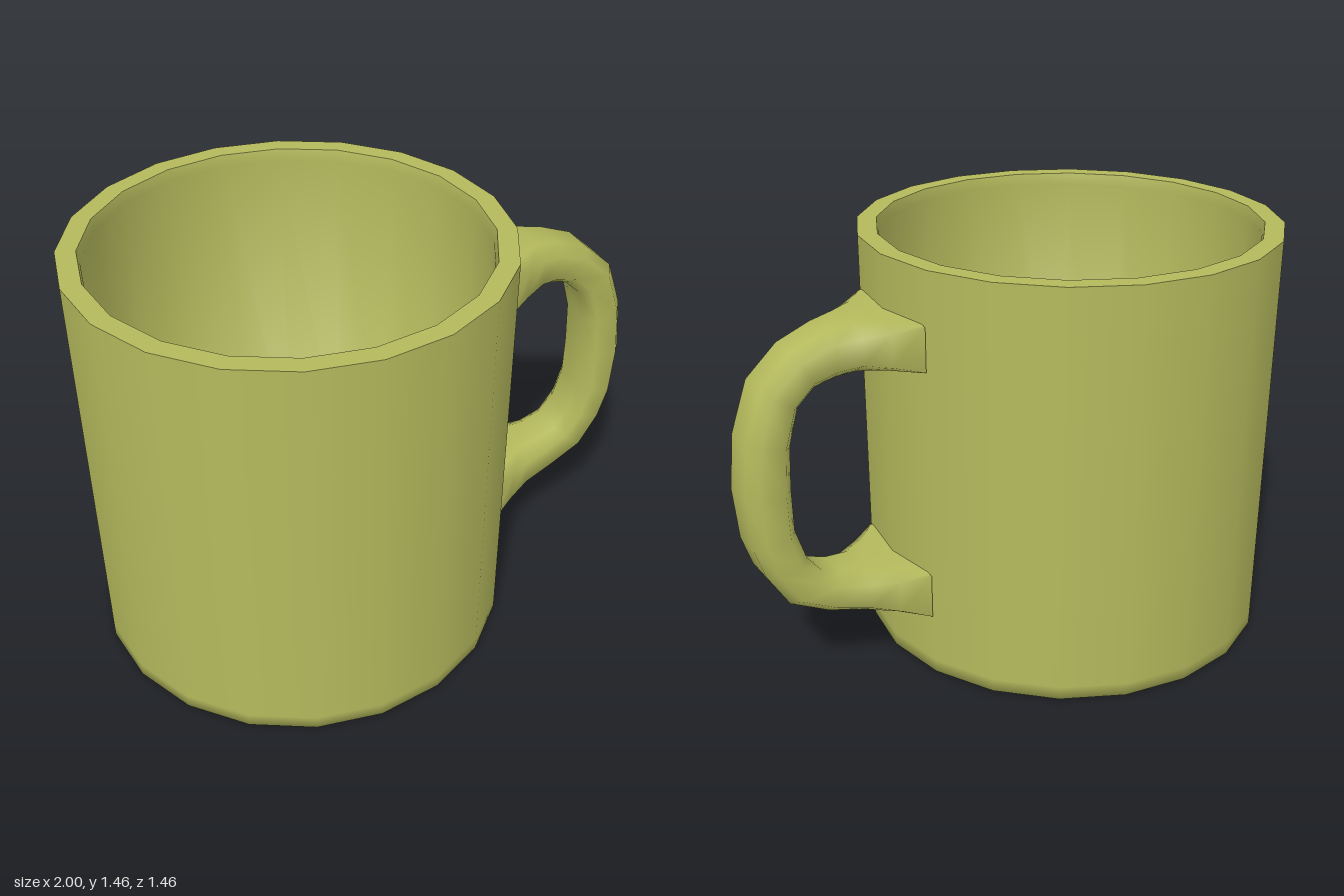
import * as THREE from 'three';

const SIDES = 20, CENTRE_X = -0.27;

export function createModel() {
  const group = new THREE.Group();
  const material = new THREE.MeshStandardMaterial({ color: 0xb4b95c, side: THREE.DoubleSide });

  const add = (name, geometry, x = 0) => {
    const mesh = new THREE.Mesh(geometry, material);
    mesh.name = name;
    mesh.position.x = x;
    group.add(mesh);
  };
  const lathe = (points) =>
    new THREE.LatheGeometry(points.map(([r, y]) => new THREE.Vector2(r, y)), SIDES);

  // Cup body: separate profiles keep the rim edges sharp
  add('cupOutside', lathe([[0, 0], [0.69, 0], [0.73, 0.004], [0.73, 0.05], [0.73, 1.46]]), CENTRE_X);
  add('cupRim', lathe([[0.73, 1.46], [0.663, 1.46]]), CENTRE_X);
  add('cupInside', lathe([[0.663, 1.46], [0.656, 1.42], [0.656, 0.07], [0, 0.07]]), CENTRE_X);

  add('handle', handleGeometry());
  return group;
}

// Handle: eight-sided loops, rectangular and flared at the wall, rounder along the grip
function handleGeometry() {
  // outer x, y, inner x, y, half width, corner fullness
  const stations = [
    [0.43, 1.28, 0.43, 1.12, 0.22, 0.94],
    [0.52, 1.28, 0.52, 1.12, 0.17, 0.7],
    [0.6, 1.28, 0.6, 1.12, 0.132, 0.55],
    [0.69, 1.265, 0.67, 1.11, 0.108, 0.55],
    [0.81, 1.22, 0.74, 1.09, 0.1, 0.55],
    [0.92, 1.12, 0.8, 1.035, 0.1, 0.55],
    [0.98, 0.95, 0.835, 0.91, 0.1, 0.55],
    [1.0, 0.76, 0.842, 0.76, 0.1, 0.55],
    [0.985, 0.58, 0.84, 0.61, 0.1, 0.55],
    [0.95, 0.47, 0.805, 0.5, 0.1, 0.55],
    [0.875, 0.345, 0.755, 0.435, 0.1, 0.55],
    [0.74, 0.275, 0.69, 0.41, 0.106, 0.55],
    [0.61, 0.24, 0.6, 0.397, 0.13, 0.55],
    [0.52, 0.228, 0.52, 0.392, 0.17, 0.7],
    [0.43, 0.222, 0.43, 0.39, 0.22, 0.94],
  ];
  const positions = [], index = [], n = 8;
  for (const [ox, oy, ix, iy, w, k] of stations) {
    const loop = [[k, 1], [1, k], [1, -k], [k, -1], [-k, -1], [-1, -k], [-1, k], [-k, 1]];
    for (const [side, out] of loop) {
      const t = (1 - out) / 2;
      positions.push(ox + (ix - ox) * t, oy + (iy - oy) * t, w * side);
    }
  }
  for (let s = 0; s < stations.length - 1; s++) {
    for (let j = 0; j < n; j++) {
      const a = s * n + j, b = s * n + (j + 1) % n;
      index.push(a, b, a + n, b, b + n, a + n);
    }
  }
  const geometry = new THREE.BufferGeometry();
  geometry.setAttribute('position', new THREE.Float32BufferAttribute(positions, 3));
  geometry.setIndex(index);
  geometry.computeVertexNormals();
  return geometry;
}
